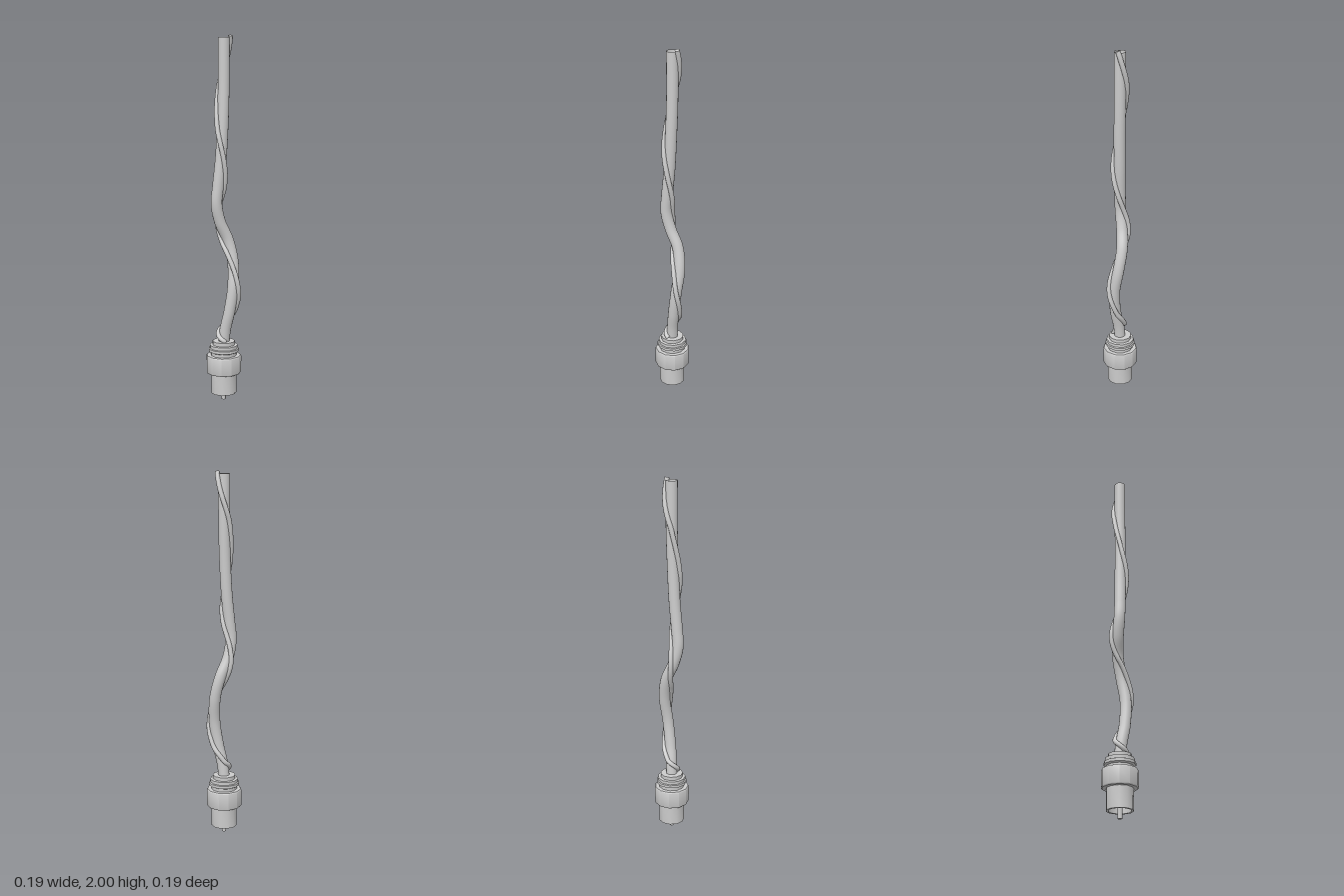
import * as THREE from 'three';
import { toCreasedNormals } from 'three/addons/utils/BufferGeometryUtils.js';

const V = (x, y, z) => new THREE.Vector3(x, y, z);
const SIDES = 11;

export function createModel() {
  const group = new THREE.Group();
  const material = new THREE.MeshStandardMaterial({ color: 0xcccccc, side: THREE.DoubleSide });

  function add(name, geometry) {
    const mesh = new THREE.Mesh(geometry, material);
    mesh.name = name;
    group.add(mesh);
    return mesh;
  }

  // Turned part from [radius, height] pairs, with a corner towards the back
  function turned(name, profile) {
    const points = profile.map(([r, y]) => new THREE.Vector2(r, y));
    const geometry = new THREE.LatheGeometry(points, SIDES, Math.PI);
    return add(name, toCreasedNormals(geometry, 0.65));
  }

  // Plug: hollow sleeve, coupling collar and stepped strain relief
  turned('plugSleeve', [
    [0, 0.15], [0.06, 0.15], [0.06, 0.04], [0.072, 0.04], [0.072, 0.16],
  ]);
  turned('collar', [
    [0.07, 0.155], [0.094, 0.155], [0.098, 0.161], [0.098, 0.249], [0.094, 0.255], [0.06, 0.255],
  ]);
  turned('strainRelief', [
    [0.072, 0.253], [0.072, 0.272], [0.085, 0.278], [0.085, 0.293], [0.078, 0.296],
    [0.078, 0.313], [0.063, 0.315], [0.063, 0.335], [0, 0.335],
  ]);
  const pin = add('centerPin', new THREE.CylinderGeometry(0.012, 0.012, 0.16, 12));
  pin.position.y = 0.08;

  // Main cable, bending in the lower half and open at the top
  const cablePath = new THREE.CatmullRomCurve3([
    V(0, 0.32, 0), V(0.003, 0.4, 0.01), V(0.012, 0.5, 0.032), V(0.028, 0.64, 0.045),
    V(0.044, 0.78, 0.027), V(0.03, 0.9, 0.001), V(-0.012, 1.0, -0.016), V(-0.036, 1.1, -0.018),
    V(-0.03, 1.2, -0.012), V(-0.016, 1.35, -0.005), V(-0.006, 1.55, 0), V(0, 1.75, 0), V(0, 1.99, 0),
  ]);
  add('mainCable', new THREE.TubeGeometry(cablePath, 120, 0.031, 16));

  // Centre of the main cable at a given height
  const samples = cablePath.getPoints(300);
  function cableCenter(y) {
    const i = samples.findIndex((p) => p.y >= y);
    return i < 0 ? samples[300] : samples[i];
  }

  // Thin wire wound round the cable: [height, angle in degrees]
  const turns = [
    [2.0, -40], [1.9, 10], [1.75, 90], [1.5, 180], [1.31, 270], [1.13, 360], [0.97, 450],
    [0.84, 540], [0.67, 625], [0.5, 715], [0.415, 790], [0.365, 890], [0.335, 960],
  ];
  const wirePoints = [];
  for (let k = 0; k < turns.length - 1; k++) {
    const [y0, a0] = turns[k];
    const [y1, a1] = turns[k + 1];
    for (let s = 0; s < 4; s++) wirePoints.push([y0 + ((y1 - y0) * s) / 4, a0 + ((a1 - a0) * s) / 4]);
  }
  wirePoints.push(turns[turns.length - 1]);
  const wirePath = new THREE.CatmullRomCurve3(wirePoints.map(([y, deg]) => {
    const c = cableCenter(y);
    const a = THREE.MathUtils.degToRad(deg);
    return V(c.x + 0.036 * Math.cos(a), y, c.z - 0.036 * Math.sin(a));
  }));
  add('wrappedWire', new THREE.TubeGeometry(wirePath, 240, 0.013, 10));

  // End cap of the thin wire
  const cap = add('wireEnd', new THREE.CircleGeometry(0.013, 10));
  cap.position.copy(wirePath.getPoint(0));
  cap.lookAt(cap.position.clone().sub(wirePath.getTangent(0)));

  return group;
}
